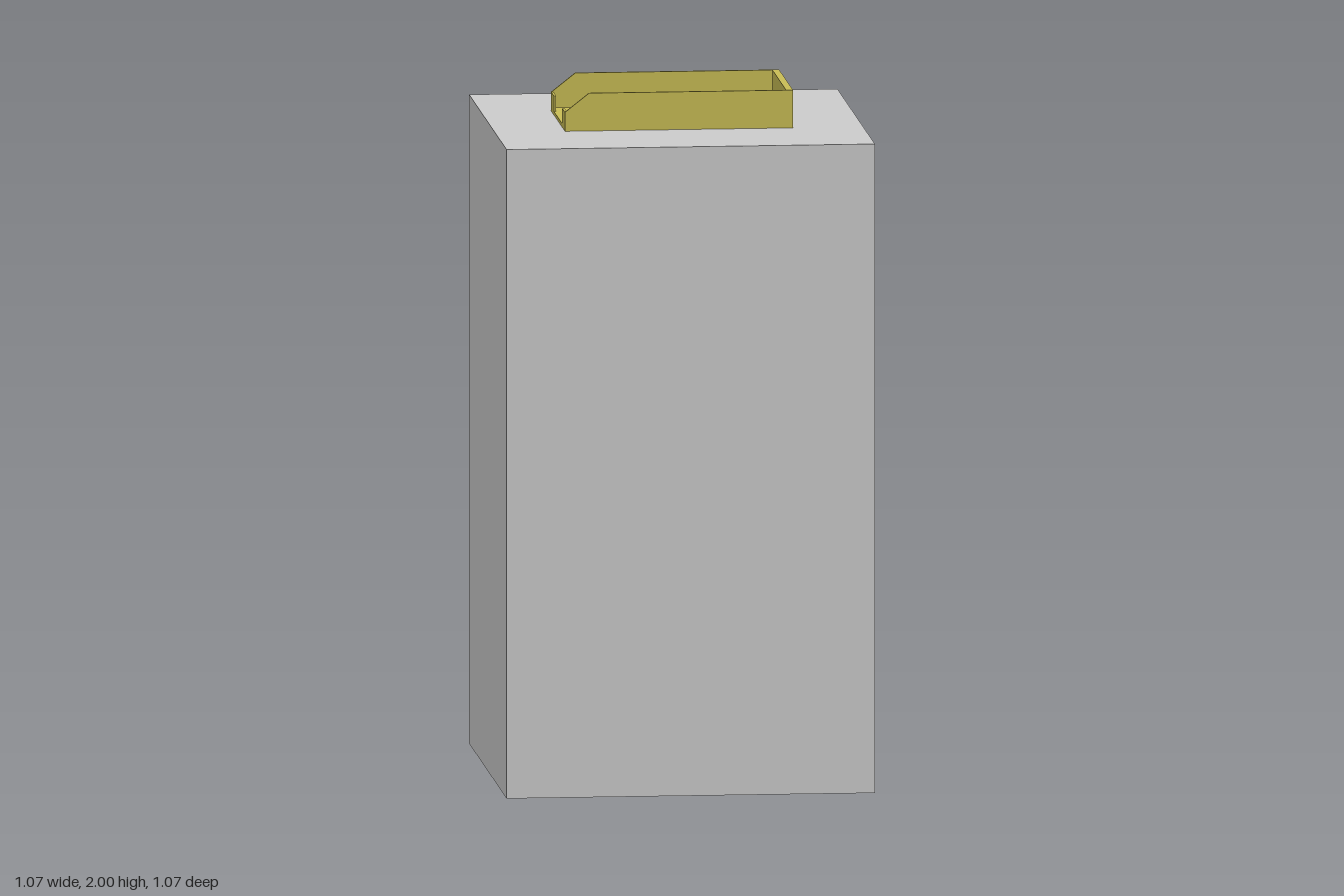
import * as THREE from 'three';

export function createModel() {
  const model = new THREE.Group();
  const grey = new THREE.MeshStandardMaterial({ color: 0xcccccc });
  const yellow = new THREE.MeshStandardMaterial({ color: 0xc8bc55 });

  const BASE = 1.89, TOP = 2, HALF_X = 0.33, HALF_Z = 0.2;
  const WALL = 0.008, END = 0.02, LIP = 0.007, LIP_TOP = 1.945;

  // Box given by its minimum and maximum corners
  function box(name, min, max, material, parent) {
    const size = max.map((v, i) => v - min[i]);
    const mesh = new THREE.Mesh(new THREE.BoxGeometry(...size), material);
    mesh.position.set(...max.map((v, i) => (v + min[i]) / 2));
    mesh.name = name;
    parent.add(mesh);
  }

  // Tall square pedestal
  box('pedestal', [-0.533, 0, -0.533], [0.533, BASE, 0.533], grey, model);

  // Shallow tray on top, open towards -x
  const tray = new THREE.Group();
  tray.name = 'tray';
  model.add(tray);
  box('trayFloor', [-HALF_X, BASE, -HALF_Z + WALL], [HALF_X - END, BASE + 0.01, HALF_Z - WALL], yellow, tray);
  box('trayEndWall', [HALF_X - END, BASE, -HALF_Z + WALL], [HALF_X, TOP, HALF_Z - WALL], yellow, tray);

  // Side wall profile with a sloped corner at the open end
  const profile = new THREE.Shape([
    [-HALF_X, BASE], [HALF_X, BASE], [HALF_X, TOP], [-0.26, TOP], [-HALF_X, LIP_TOP],
  ].map(([x, y]) => new THREE.Vector2(x, y)));
  const wallGeometry = new THREE.ExtrudeGeometry(profile, { depth: WALL, bevelEnabled: false });

  for (const side of [-1, 1]) {
    const label = side > 0 ? 'front' : 'back';
    const wall = new THREE.Mesh(wallGeometry, yellow);
    wall.position.z = side > 0 ? HALF_Z - WALL : -HALF_Z;
    wall.name = label + 'SideWall';
    tray.add(wall);

    // Short retaining lip beside the opening
    const z = [side * 0.12, side * (HALF_Z - WALL)].sort((a, b) => a - b);
    box(label + 'Lip', [-HALF_X, BASE + 0.01, z[0]], [-HALF_X + LIP, LIP_TOP, z[1]], yellow, tray);
  }
  return model;
}
